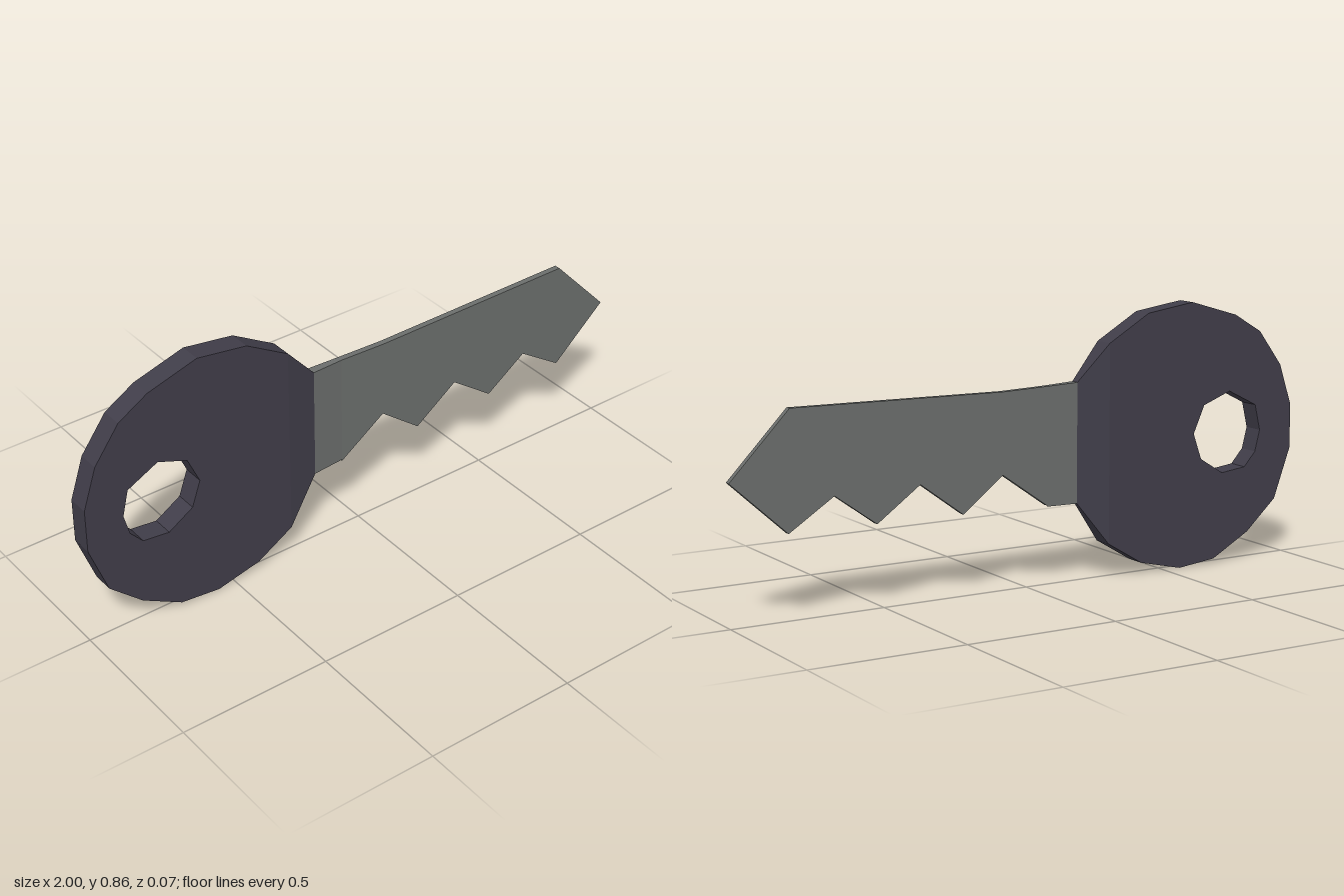
import * as THREE from 'three';

const headMat = new THREE.MeshStandardMaterial({ color: 0x403d49, flatShading: true });
const bladeMat = new THREE.MeshStandardMaterial({ color: 0x6b6e6c, flatShading: true });

const points = (list) => list.map(([x, y]) => new THREE.Vector2(x, y));

// Flat plate cut from an outline, between two depths
function plate(name, outline, hole, zBack, zFront, material) {
  const shape = new THREE.Shape(points(outline));
  if (hole) shape.holes.push(new THREE.Path(points(hole)));
  const geo = new THREE.ExtrudeGeometry(shape, { depth: zFront - zBack, bevelEnabled: false });
  geo.translate(0, 0, zBack);
  const mesh = new THREE.Mesh(geo, material);
  mesh.name = name;
  return mesh;
}

// Four-sided sleeve along x; section corners: front top, front bottom, back bottom, back top
function sleeve(name, x0, s0, x1, s1, material) {
  const pos = [];
  for (let i = 0; i < 4; i++) {
    const j = (i + 1) % 4;
    const a = [x0, ...s0[i]], b = [x0, ...s0[j]], c = [x1, ...s1[j]], d = [x1, ...s1[i]];
    pos.push(...a, ...b, ...c, ...a, ...c, ...d);
  }
  const geo = new THREE.BufferGeometry();
  geo.setAttribute('position', new THREE.Float32BufferAttribute(pos, 3));
  geo.computeVertexNormals();
  const mesh = new THREE.Mesh(geo, material);
  mesh.name = name;
  return mesh;
}

export function createModel() {
  const key = new THREE.Group();
  key.name = 'key';

  // Round grip with an off-centre ring hole
  const headOutline = [
    [-0.285, 0.75], [-0.43, 0.835], [-0.6, 0.86], [-0.77, 0.81], [-0.87, 0.75], [-0.955, 0.635],
    [-1, 0.5], [-1, 0.355], [-0.94, 0.19], [-0.83, 0.09], [-0.695, 0.015], [-0.56, 0],
    [-0.41, 0.035], [-0.285, 0.11],
  ];
  const ringHole = [
    [-0.75, 0.563], [-0.65, 0.525], [-0.61, 0.435], [-0.64, 0.35], [-0.725, 0.297],
    [-0.815, 0.308], [-0.857, 0.355], [-0.875, 0.425], [-0.855, 0.51],
  ];
  key.add(plate('head', headOutline, ringHole, -0.035, 0.035, headMat));

  // Grip thinning toward the blade, then the shoulder thinning to blade thickness
  const headEnd = [[0.75, 0.035], [0.11, 0.035], [0.11, -0.035], [0.75, -0.035]];
  const neckEnd = [[0.632, 0.018], [0.258, 0.018], [0.248, -0.011], [0.632, -0.011]];
  const shoulderEnd = [[0.628, 0.009], [0.258, 0.009], [0.25, -0.011], [0.628, -0.011]];
  key.add(sleeve('neck', -0.285, headEnd, -0.18, neckEnd, headMat));
  key.add(sleeve('shoulder', -0.18, neckEnd, -0.07, shoulderEnd, bladeMat));

  // Toothed blade with a pointed tip
  const bladeOutline = [
    [-0.07, 0.628], [-0.07, 0.253], [0.09, 0.365], [0.23, 0.257], [0.378, 0.365], [0.525, 0.26],
    [0.665, 0.36], [0.815, 0.263], [1, 0.43], [0.805, 0.632], [0.09, 0.623],
  ];
  key.add(plate('blade', bladeOutline, null, -0.011, 0.009, bladeMat));

  return key;
}
